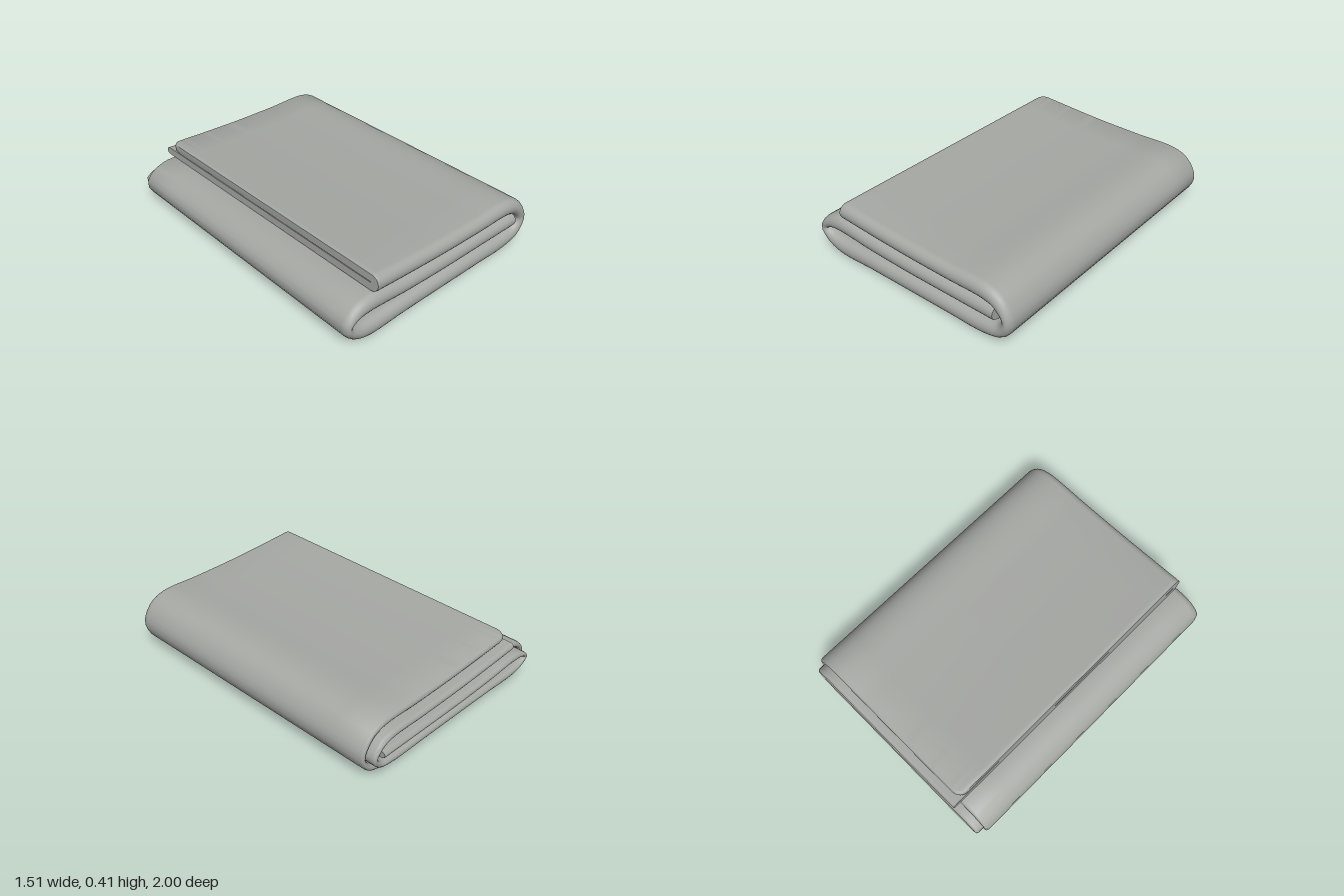
import * as THREE from 'three';
import { toCreasedNormals } from 'three/addons/utils/BufferGeometryUtils.js';

// Spiral fold seen from the front: x, y of the cloth's middle line and half its thickness
const FOLD = [
  [-0.54, 0.348, 0.057], [-0.3, 0.334, 0.056], [0, 0.321, 0.055], [0.3, 0.317, 0.055], [0.58, 0.315, 0.055],
  [0.665, 0.28, 0.048], [0.722, 0.187, 0.036], [0.675, 0.108, 0.046],
  [0.57, 0.08, 0.056], [0.3, 0.077, 0.058], [0, 0.075, 0.058], [-0.3, 0.072, 0.058], [-0.6, 0.069, 0.058],
  [-0.69, 0.103, 0.044], [-0.733, 0.157, 0.028], [-0.69, 0.205, 0.042],
  [-0.6, 0.232, 0.056], [-0.3, 0.215, 0.055], [0, 0.206, 0.054], [0.3, 0.206, 0.053], [0.64, 0.207, 0.053],
];

const SLIT = 0.05;          // half gap between the two layers, as a share of half thickness
const OUTER_BACK = -0.945;  // the outer layer stops short of the inner one
const INNER_BACK = -1;
const CORNER = 0.06;

// Doubled sheet as a closed loop of (thickness share, z), folded at the front
function doubledSection() {
  const pts = [];
  const arc = (c, rn, z, rz, from, steps) => {
    for (let i = 0; i <= steps; i++) {
      const a = from + (Math.PI * i) / steps;
      pts.push(new THREE.Vector2(c + rn * Math.cos(a), z + rz * Math.sin(a)));
    }
  };
  const run = (n, from, to) => {
    for (let i = 1; i < 9; i++) pts.push(new THREE.Vector2(n, from + ((to - from) * i) / 9));
  };
  const mid = (1 + SLIT) / 2, half = (1 - SLIT) / 2, r = 0.025;
  arc(mid, half, OUTER_BACK + r, r, Math.PI, 8);     // hem of the outer layer
  run(1, OUTER_BACK + r, 0.945);
  arc(0, 1, 0.945, 0.055, 0, 14);                    // front fold
  run(-1, 0.945, INNER_BACK + r);
  arc(-mid, half, INNER_BACK + r, r, Math.PI, 8);    // hem of the inner layer
  run(-SLIT, INNER_BACK + r, 0.94);
  pts.push(new THREE.Vector2(-SLIT, 0.94), new THREE.Vector2(SLIT, 0.94));
  run(SLIT, 0.94, OUTER_BACK + r);
  return pts;
}

function clothGeometry() {
  const curve = new THREE.CatmullRomCurve3(FOLD.map((p) => new THREE.Vector3(...p)));
  curve.arcLengthDivisions = 1000;
  const length = curve.getLength();

  // Finer steps at both cut ends
  const ends = [0, 0.003, 0.008, 0.016, 0.028, 0.042, 0.06];
  const stops = [...ends];
  for (let i = 1; i < 150; i++) stops.push(0.06 + ((length - 0.12) * i) / 150);
  stops.push(...ends.map((d) => length - d).reverse());

  const section = doubledSection();
  const count = section.length;
  const position = [], index = [];

  for (const s of stops) {
    const u = Math.min(1, s / length);
    const p = curve.getPointAt(u), t = curve.getTangentAt(u);
    const normal = new THREE.Vector2(-t.y, t.x).normalize();
    const d = Math.max(0, Math.min(s, length - s));
    const rim = Math.max(0, 1 - d / 0.016);
    const h = p.z * (1 - 0.1 * rim * rim);
    const k = Math.max(0, CORNER - d);
    const cut = CORNER - Math.sqrt(CORNER * CORNER - k * k);
    for (const q of section) {
      const z = q.y + (q.x > 0 && q.y < -0.85 ? cut : 0);  // rounded corner of the outer layer
      let x = p.x + normal.x * h * q.x;
      let y = p.y + normal.y * h * q.x;
      const back = (1 - z) / 2;
      y -= back * (0.006 + 0.06 * y);                       // settles lower toward the back
      if (x > 0) x -= 0.01 * back * x;
      position.push(x, y, z);
    }
  }

  for (let i = 0; i < stops.length - 1; i++) {
    for (let j = 0; j < count; j++) {
      const a = i * count + j, b = i * count + ((j + 1) % count);
      index.push(a, b, b + count, a, b + count, a + count);
    }
  }

  // Flat cut ends
  const last = (stops.length - 1) * count;
  for (const [a, b, c] of THREE.ShapeUtils.triangulateShape(section, [])) {
    index.push(a, c, b, last + a, last + b, last + c);
  }

  const geometry = new THREE.BufferGeometry();
  geometry.setAttribute('position', new THREE.Float32BufferAttribute(position, 3));
  geometry.setIndex(index);
  return toCreasedNormals(geometry, 0.9);
}

export function createModel() {
  const group = new THREE.Group();
  group.name = 'foldedTowel';
  const cloth = new THREE.MeshStandardMaterial({ color: 0xa6a8a4 });
  cloth.name = 'grey cloth';
  const towel = new THREE.Mesh(clothGeometry(), cloth);
  towel.name = 'foldedCloth';
  group.add(towel);
  return group;
}
